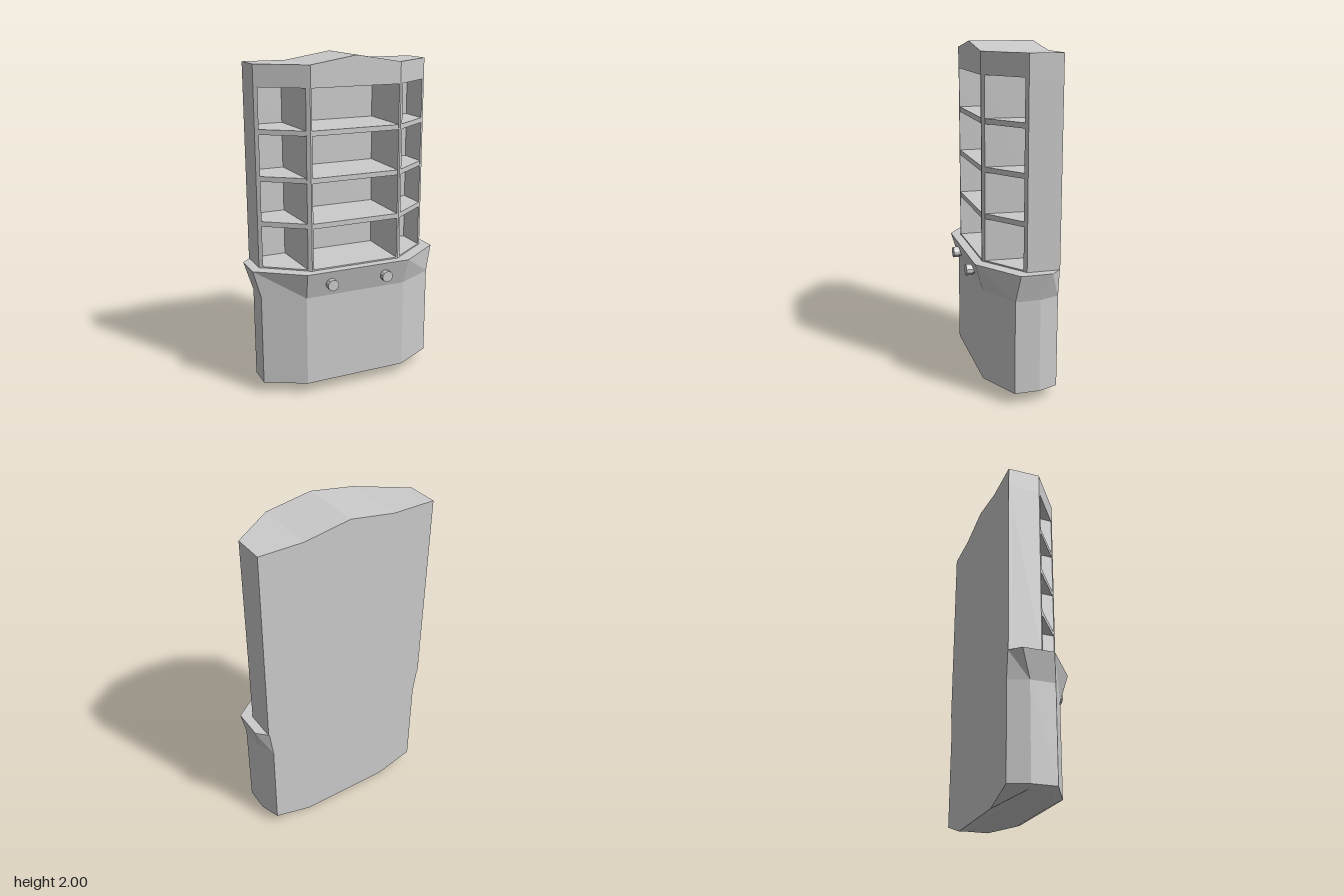
import * as THREE from 'three';

const material = new THREE.MeshStandardMaterial({ color: 0xcccccc, flatShading: true });

// Skin a list of equal-length closed loops and cap both ends with strips
function loft(rings) {
  const pos = [];
  const quad = (a, b, c, d) => pos.push(...a, ...b, ...c, ...a, ...c, ...d);
  const n = rings[0].length;
  for (let r = 0; r < rings.length - 1; r++) {
    for (let i = 0; i < n; i++) {
      const k = (i + 1) % n;
      quad(rings[r][i], rings[r + 1][i], rings[r + 1][k], rings[r][k]);
    }
  }
  const first = rings[0], last = rings[rings.length - 1];
  for (let i = 0; i < n / 2 - 1; i++) {
    const j = n - 1 - i;
    quad(last[i], last[j], last[j - 1], last[i + 1]);
    quad(first[i], first[i + 1], first[j - 1], first[j]);
  }
  const g = new THREE.BufferGeometry();
  g.setAttribute('position', new THREE.Float32BufferAttribute(pos, 3));
  g.computeVertexNormals();
  return g;
}

// Upright prism from a plan outline of [x, z] points
function prism(points, y0, y1) {
  const shape = new THREE.Shape(points.map(([x, z]) => new THREE.Vector2(x, -z)));
  const g = new THREE.ExtrudeGeometry(shape, { depth: y1 - y0, bevelEnabled: false });
  return g.rotateX(-Math.PI / 2).translate(0, y0, 0);
}

// Complete a right-hand run of points with its mirror image
const mirrored = (half) => [...half, ...half.slice().reverse().map(([x, ...rest]) => [-x, ...rest])];

export function createModel() {
  const model = new THREE.Group();
  const add = (name, geometry, parent = model) => {
    const mesh = new THREE.Mesh(geometry, material);
    mesh.name = name;
    parent.add(mesh);
    return mesh;
  };

  // Base: tapered underside, straight body, flared lip
  const body = [[0.515, -0.22], [0.555, -0.105], [0.555, 0.04], [0.32, 0.165]];
  const lip = [[0.535, -0.22], [0.595, -0.16], [0.595, 0.02], [0.33, 0.212]];
  const level = (half, y) => mirrored(half.map(([x, z]) => [x, y, z]));
  const underside = mirrored([[0.28, 0, -0.22], [0.515, 0.055, -0.1], [0.515, 0.055, 0.03], [0.29, 0.055, 0.13]]);
  add('base', loft([underside, level(body, 0.07), level(body, 0.62), level(lip, 0.78)]));

  // Header with a shallow ridge, lofted across the width
  const stations = [[-0.54, -0.03, 1.955], [-0.277, 0.162, 1.955], [0, 0.162, 2], [0.277, 0.162, 1.955], [0.54, -0.03, 1.955]];
  add('header', loft(stations.map(([x, z, top]) => [[x, 1.83, z], [x, top, z], [x, top, -0.22], [x, 1.83, -0.22]])));

  // Cabinet walls
  add('backPanel', prism(mirrored([[0.54, -0.22], [0.54, -0.2]]), 0.78, 1.83));
  for (const s of [1, -1]) {
    const flip = (pts) => pts.map(([x, z]) => [s * x, z]);
    add('sideWall', prism(flip([[0.54, -0.22], [0.54, -0.03], [0.52, -0.0154], [0.52, -0.22]]), 0.78, 1.83));
    add('divider', prism(flip([[0.27, 0.16], [0.28, 0.16], [0.3, 0.1454], [0.315, -0.2], [0.275, -0.2]]), 0.78, 1.83));
  }

  // Sill and shelves share the cabinet's plan
  const plan = mirrored([[0.538, -0.21], [0.538, -0.03], [0.28, 0.158]]);
  add('sill', prism(plan, 0.775, 0.788));
  for (const y of [1.048, 1.314, 1.582]) add('shelf', prism(plan, y - 0.015, y + 0.015));

  // Knobs on the lip
  for (const x of [0.177, -0.177]) {
    const knob = new THREE.Group();
    knob.name = 'knob';
    add('knobHead', new THREE.CylinderGeometry(0.034, 0.034, 0.035, 10).rotateX(Math.PI / 2).translate(0, 0, 0.214), knob);
    add('knobStem', new THREE.CylinderGeometry(0.027, 0.027, 0.04, 10).rotateX(Math.PI / 2).translate(0, 0, 0.185), knob);
    knob.position.set(x, 0.7, 0);
    model.add(knob);
  }
  return model;
}
